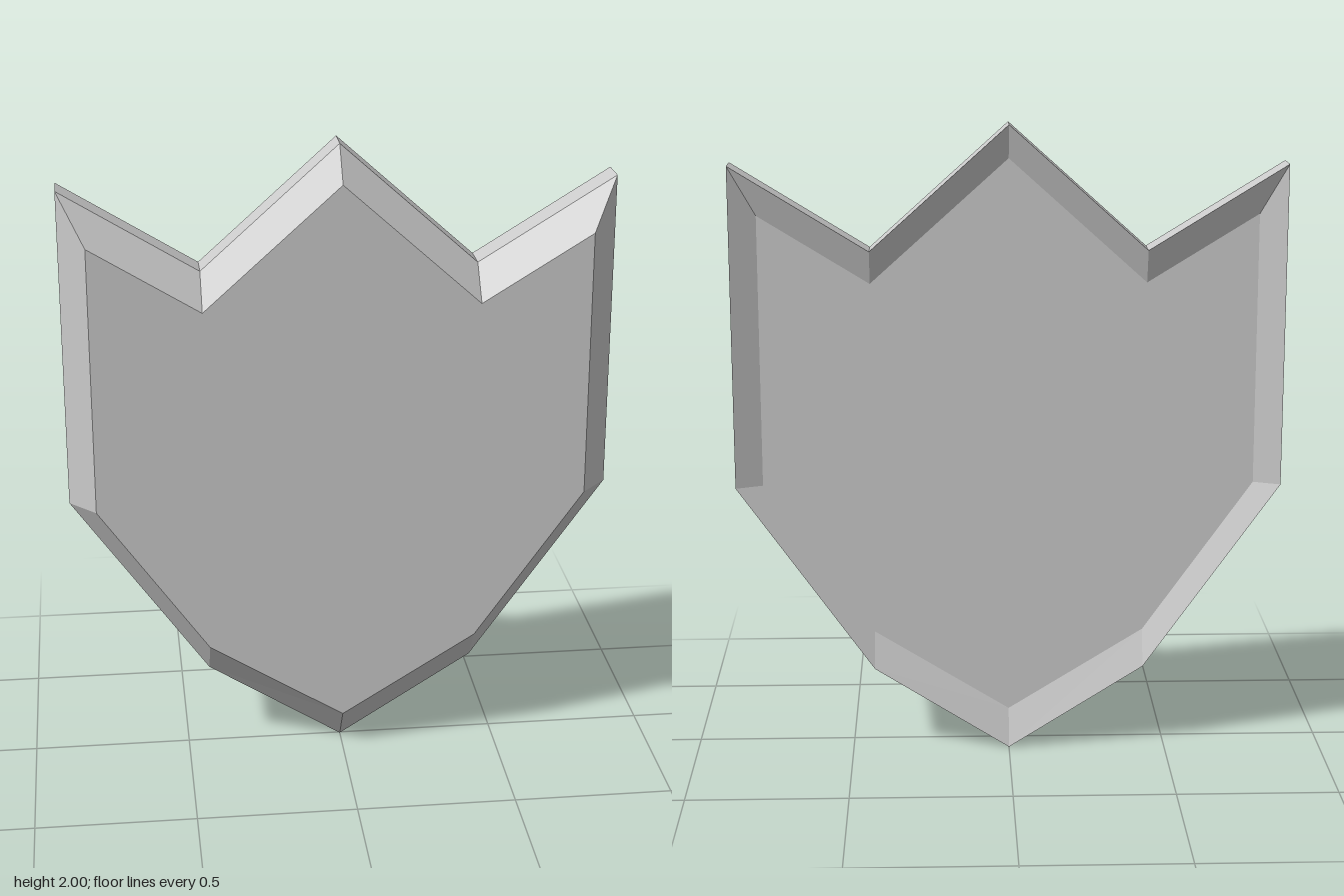
import * as THREE from 'three';

// Right half of each outline, from bottom point up to the centre peak.
const OUTER = [[0, 0], [0.428, 0.27], [0.855, 0.87], [0.855, 1.878], [0.428, 1.615], [0, 2]];
const INSET = [[0, 0.12], [0.428, 0.385], [0.772, 0.87], [0.772, 1.722], [0.428, 1.51], [0, 1.895]];

// Mirrors a half outline into a closed counter-clockwise ring at depth z.
function ring(half, z) {
  const left = half.slice(1, -1).reverse().map(([x, y]) => [-x, y]);
  return [...half, ...left].map(([x, y]) => new THREE.Vector3(x, y, z));
}

function toMesh(name, points) {
  const geometry = new THREE.BufferGeometry().setFromPoints(points);
  geometry.computeVertexNormals();
  const mesh = new THREE.Mesh(
    geometry,
    new THREE.MeshStandardMaterial({ color: 0xcccccc, flatShading: true })
  );
  mesh.name = name;
  return mesh;
}

// Strip of quads joining two rings.
function band(name, a, b) {
  const points = [];
  a.forEach((p, i) => {
    const j = (i + 1) % a.length;
    points.push(p, a[j], b[j], p, b[j], b[i]);
  });
  return toMesh(name, points);
}

// Flat face filling a ring, facing front or back.
function plate(name, outline, facesBack) {
  const contour = outline.map((p) => new THREE.Vector2(p.x, p.y));
  const points = [];
  for (const [a, b, c] of THREE.ShapeUtils.triangulateShape(contour, [])) {
    const order = facesBack ? [a, c, b] : [a, b, c];
    points.push(...order.map((k) => outline[k]));
  }
  return toMesh(name, points);
}

export function createModel() {
  const backInset = ring(INSET, -0.06);
  const backRim = ring(OUTER, -0.095);
  const frontRim = ring(OUTER, 0.005);
  const frontInset = ring(INSET, 0.095);

  const shield = new THREE.Group();
  shield.name = 'shield';
  shield.add(
    plate('frontFace', frontInset, false),
    band('frontBevel', frontRim, frontInset),
    band('sideWall', backRim, frontRim),
    // Shallow dish in the back
    band('backSlope', backInset, backRim),
    plate('backFace', backInset, true)
  );
  return shield;
}
